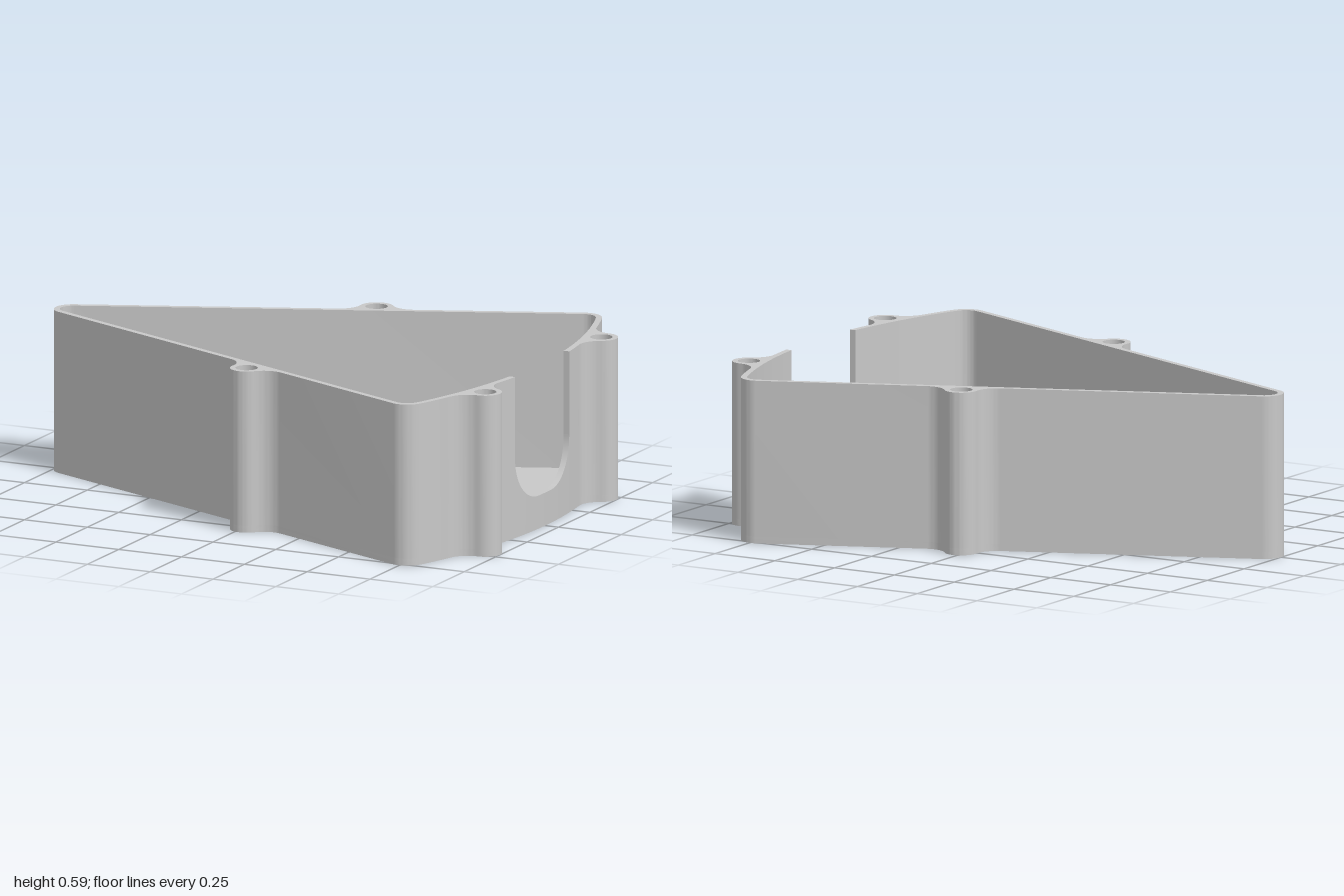
import * as THREE from 'three';
import { toCreasedNormals } from 'three/addons/utils/BufferGeometryUtils.js';

const HEIGHT = 0.59, FLOOR = 0.025, WALL = 0.022;
const CORNER_R = 0.07, BOSS_R = 0.06, HOLE_R = 0.04, FILLET_R = 0.08;
const NOTCH = { half: 0.2155, r: 0.165, bottom: 0.121 };

// Plan view of the wedge (upper half; the other half is mirrored)
const apex = new THREE.Vector2(-0.93, 0);
const corner = new THREE.Vector2(0.747, 0.697);
const rim = { c: new THREE.Vector2(-1.07, 0), r: 2.017 };
const sideBoss = new THREE.Vector2(0.018, 0.517);
const rimBoss = new THREE.Vector2(0.94, 0.462);
const angle = (from, to) => Math.atan2(to.y - from.y, to.x - from.x);
const sideAngle = angle(apex, corner) + Math.PI / 2;
const cornerAngle = angle(rim.c, corner);

// Arc from a0 to a1, always less than a full turn; dir 1 is anticlockwise
function arc(pts, c, r, a0, a1, dir = 1, n = 14) {
  const sweep = dir * THREE.MathUtils.euclideanModulo((a1 - a0) * dir, Math.PI * 2);
  for (let i = 0; i <= n; i++) {
    const a = a0 + sweep * i / n;
    pts.push(new THREE.Vector2(c.x + r * Math.cos(a), c.y + r * Math.sin(a)));
  }
}

// Where the fillets beside a boss meet a wall curve of centre c and radius r
function filletAngles(boss, c, r) {
  const d = boss.distanceTo(c), f = r + FILLET_R, b = BOSS_R + FILLET_R;
  const spread = Math.acos((f * f + d * d - b * b) / (2 * f * d));
  return [angle(c, boss) - spread, angle(c, boss) + spread];
}

function addBoss(pts, boss, c, r) {
  const angles = filletAngles(boss, c, r);
  const [f1, f2] = angles.map((a) => new THREE.Vector2(
    c.x + (r + FILLET_R) * Math.cos(a), c.y + (r + FILLET_R) * Math.sin(a)));
  arc(pts, f1, FILLET_R, angles[0] + Math.PI, angle(f1, boss), -1);
  pts.pop();
  arc(pts, boss, BOSS_R, angle(boss, f1), angle(boss, f2), 1, 24);
  pts.pop();
  arc(pts, f2, FILLET_R, angle(f2, boss), angles[1] + Math.PI, -1);
}

const mirrored = (pts) => pts.slice(0, -1).reverse().map((p) => new THREE.Vector2(p.x, -p.y));

function outerHalf(start) {
  const pts = [];
  const [a, b] = filletAngles(rimBoss, rim.c, rim.r);
  arc(pts, rim.c, rim.r, start, a);
  pts.pop();
  addBoss(pts, rimBoss, rim.c, rim.r);
  pts.pop();
  arc(pts, rim.c, rim.r, b, cornerAngle, 1, 6);
  pts.pop();
  arc(pts, corner, CORNER_R, cornerAngle, sideAngle);
  // The straight side is treated as a circle of very large radius
  const big = 1000;
  const n = new THREE.Vector2(Math.cos(sideAngle), Math.sin(sideAngle));
  const off = sideBoss.clone().sub(apex).dot(n) - CORNER_R;
  addBoss(pts, sideBoss, sideBoss.clone().addScaledVector(n, -off - big), big);
  arc(pts, apex, CORNER_R, sideAngle, Math.PI);
  return pts;
}

function innerHalf(start) {
  const pts = [];
  arc(pts, rim.c, rim.r - WALL, start, cornerAngle, 1, 24);
  pts.pop();
  arc(pts, corner, CORNER_R - WALL, cornerAngle, sideAngle);
  arc(pts, apex, CORNER_R - WALL, sideAngle, Math.PI);
  return pts;
}

function extrudeUp(shape, y0, y1) {
  const geo = new THREE.ExtrudeGeometry(shape, { depth: y1 - y0, bevelEnabled: false });
  geo.rotateX(-Math.PI / 2).translate(0, y0, 0);
  return toCreasedNormals(geo, 0.5);
}

// Solid base plate, including the feet of the bosses
function floorGeometry() {
  const half = outerHalf(0);
  return extrudeUp(new THREE.Shape([...half, ...mirrored(half).slice(0, -1)]), 0, FLOOR);
}

// Wall ring, open at the notch, with blind screw holes in the bosses
function wallGeometry() {
  const outer = outerHalf(Math.asin(NOTCH.half / rim.r));
  const inner = innerHalf(Math.asin(NOTCH.half / (rim.r - WALL)));
  const shape = new THREE.Shape([...outer, ...mirrored(outer),
    ...[...inner, ...mirrored(inner)].reverse()]);
  for (const b of [sideBoss, rimBoss]) for (const s of [1, -1]) {
    shape.holes.push(new THREE.Path().absarc(b.x, b.y * s, HOLE_R, 0, Math.PI * 2, true));
  }
  return extrudeUp(shape, FLOOR, HEIGHT);
}

// Low curved wall below the U-shaped notch, bent to follow the rim
function notchGeometry() {
  const { half, r, bottom } = NOTCH;
  const geo = new THREE.BoxGeometry(WALL, 2, 2, 1, 1, 64);
  const p = geo.attributes.position;
  for (let i = 0; i < p.count; i++) {
    const z = half * Math.sin(p.getZ(i) * Math.PI / 2);
    const past = Math.max(0, Math.abs(z) - (half - r));
    const top = bottom + r - Math.sqrt(Math.max(0, r * r - past * past));
    const radius = rim.r - WALL / 2 + p.getX(i);
    p.setXYZ(i, rim.c.x + Math.sqrt(radius * radius - z * z), p.getY(i) > 0 ? top : FLOOR, z);
  }
  return toCreasedNormals(geo, 0.5);
}

export function createModel() {
  const grey = new THREE.MeshStandardMaterial({ color: 0xc8c8c8 });
  grey.name = 'grey plastic';
  const model = new THREE.Group();
  model.name = 'wedgeTray';
  const parts = { floor: floorGeometry(), walls: wallGeometry(), notchSill: notchGeometry() };
  for (const [name, geo] of Object.entries(parts)) {
    const mesh = new THREE.Mesh(geo, grey);
    mesh.name = name;
    model.add(mesh);
  }
  return model;
}
